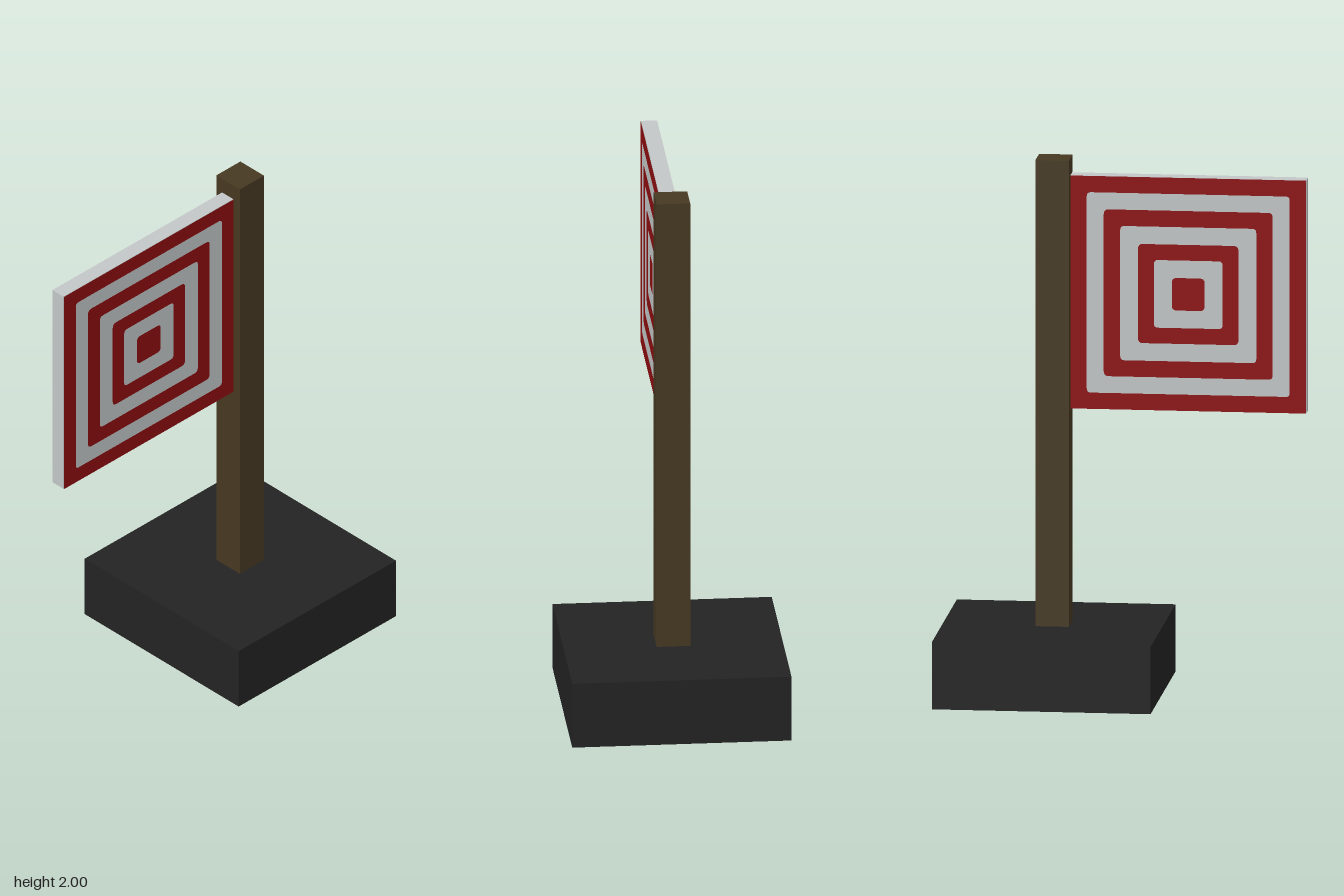
import * as THREE from 'three';

const material = (name, color) => {
  const m = new THREE.MeshStandardMaterial({ color });
  m.name = name;
  return m;
};

// Square outline of half-width h with corner radius r
function trace(path, h, r) {
  path.moveTo(-h + r, -h);
  path.lineTo(h - r, -h);
  path.quadraticCurveTo(h, -h, h, -h + r);
  path.lineTo(h, h - r);
  path.quadraticCurveTo(h, h, h - r, h);
  path.lineTo(-h + r, h);
  path.quadraticCurveTo(-h, h, -h, h - r);
  path.lineTo(-h, -h + r);
  path.quadraticCurveTo(-h, -h, -h + r, -h);
  return path;
}

export function createModel() {
  const model = new THREE.Group();
  model.name = 'targetStand';
  const black = material('charcoal', 0x232323);
  const brown = material('darkWood', 0x473922);
  const white = material('offWhite', 0xc3c7c7);
  const red = material('targetRed', 0x8e0d10);

  const box = (name, mat, size, pos, parent = model) => {
    const mesh = new THREE.Mesh(new THREE.BoxGeometry(...size), mat);
    mesh.name = name;
    mesh.position.set(...pos);
    parent.add(mesh);
  };

  // Heavy base and square post
  box('base', black, [0.81, 0.252, 0.81], [0, 0.126, -0.267]);
  box('post', brown, [0.124, 1.748, 0.124], [0, 1.126, -0.266]);

  // Target board
  const target = new THREE.Group();
  target.name = 'target';
  target.position.set(0, 1.503, 0.235);
  model.add(target);
  box('board', white, [0.059, 0.874, 0.874], [0, 0, 0], target);

  // Red rings on both faces: [outer half-width, inner half-width, outer corner radius]
  const rings = [[0.437, 0.376, 0], [0.313, 0.252, 0.018], [0.186, 0.127, 0.018], [0.061, 0, 0.018]];
  for (const side of [-1, 1]) {
    for (const [outer, inner, radius] of rings) {
      const shape = trace(new THREE.Shape(), outer, radius);
      if (inner) shape.holes.push(trace(new THREE.Path(), inner, 0.015));
      const ring = new THREE.Mesh(new THREE.ShapeGeometry(shape, 4), red);
      ring.name = inner ? 'ring' : 'bullseye';
      ring.rotation.y = side * Math.PI / 2;
      ring.position.x = side * 0.0315;
      target.add(ring);
    }
  }
  return model;
}
